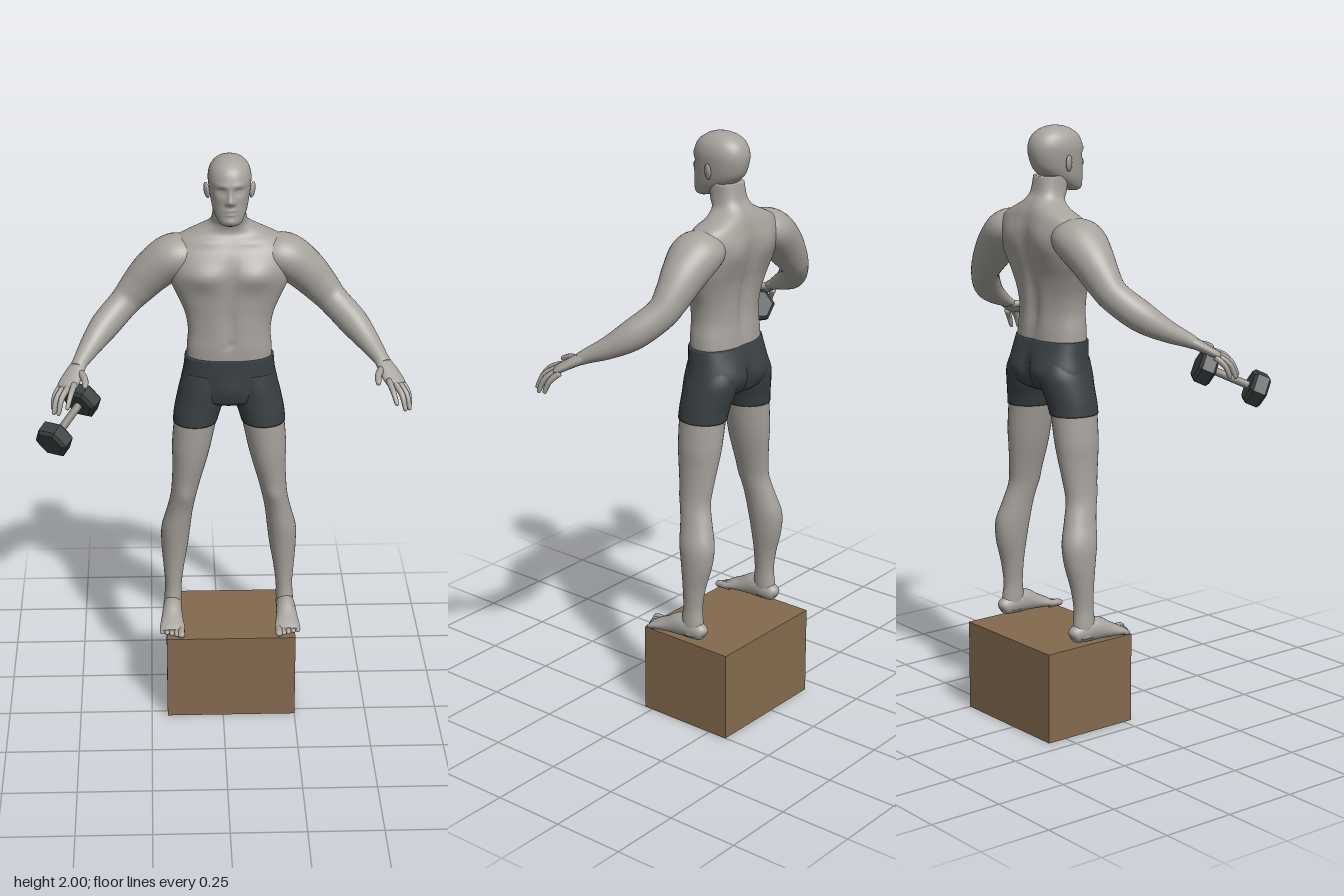
import * as THREE from 'three';

const material = (name, color) => Object.assign(new THREE.MeshStandardMaterial({ color }), { name });
const V = (x, y, z) => new THREE.Vector3(x, y, z);

// Smooth extra rows between the given ones (Catmull-Rom on every column)
function smooth(rows, steps) {
  const out = [], at = i => rows[Math.min(Math.max(i, 0), rows.length - 1)];
  for (let i = 0; i < rows.length - 1; i++) for (let k = 0; k < steps; k++) {
    const t = k / steps;
    out.push(rows[i].map((b, j) => {
      const a = at(i - 1)[j], c = at(i + 1)[j], d = at(i + 2)[j];
      return b + 0.5 * t * (c - a + t * (2 * a - 5 * b + 4 * c - d + t * (3 * (b - c) + d - a)));
    }));
  }
  out.push(rows[rows.length - 1]);
  return out;
}

// Closed skin over elliptical sections {c, u, v}, turned to face outward
function skinOver(name, mat, sections, n = 24, rule = null, power = 1) {
  const pos = [], index = [], p = V();
  const bend = a => Math.sign(a) * Math.abs(a) ** power;
  for (const { c, u, v } of sections) for (let i = 0; i < n; i++) {
    const a = i / n * Math.PI * 2, sin = Math.sin(a);
    p.copy(c).addScaledVector(u, bend(Math.cos(a))).addScaledVector(v, bend(sin));
    if (rule) rule(p, sin);
    pos.push(p.x, p.y, p.z);
  }
  const m = sections.length, ends = [sections[0].c, sections[m - 1].c];
  ends.forEach(c => pos.push(c.x, c.y, c.z));
  for (let i = 0; i < n; i++) {
    const j = (i + 1) % n, top = (m - 1) * n;
    for (let r = 0; r < m - 1; r++) {
      const a = r * n + i, b = r * n + j;
      index.push(a, b, a + n, b, b + n, a + n);
    }
    index.push(m * n, j, i, m * n + 1, top + i, top + j);
  }
  const P = k => V(pos[3 * k], pos[3 * k + 1], pos[3 * k + 2]);
  let volume = 0;
  for (let k = 0; k < index.length; k += 3) volume += P(index[k]).dot(P(index[k + 1]).cross(P(index[k + 2])));
  if (volume < 0) index.reverse();
  const g = new THREE.BufferGeometry();
  g.setAttribute('position', new THREE.Float32BufferAttribute(pos, 3));
  g.setIndex(index);
  g.computeVertexNormals();
  const mesh = new THREE.Mesh(g, mat);
  mesh.name = name;
  return mesh;
}

// Rows [y, centre x, half width, front z, back z]
const layers = (rows, s = 1, steps = 5) => smooth(rows, steps).map(([y, x, w, f, b]) =>
  ({ c: V(s * x, y, (f + b) / 2), u: V(w, 0, 0), v: V(0, 0, (f - b) / 2) }));

// Rows [x, y, z, radius sideways, radius upward] along a path
function limb(rows, s = 1, steps = 5) {
  const fine = smooth(rows, steps), c = fine.map(r => V(s * r[0], r[1], r[2]));
  return fine.map((r, i) => {
    const t = c[Math.min(i + 1, c.length - 1)].clone().sub(c[Math.max(i - 1, 0)]).normalize();
    const u = t.clone().cross(V(0, 1, 0)).normalize(), v = u.clone().cross(t);
    return { c: c[i], u: u.multiplyScalar(r[3]), v: v.multiplyScalar(r[4]) };
  });
}

// Soft bumps [|x|, y, spread x, spread y, dz] on the front (+1) or back (-1)
const bumps = (front, back) => (p, sin) => {
  let dz = 0;
  for (const [x, y, sx, sy, d] of sin > 0 ? front : back)
    dz += d * Math.exp(-(((Math.abs(p.x) - x) / sx) ** 2) - ((p.y - y) / sy) ** 2);
  p.z += dz * Math.min(1, Math.abs(sin) * 1.6);
};

export function createModel() {
  const skin = material('skin', 0xa6a29c), cloth = material('shorts cloth', 0x394042);
  const wood = material('box brown', 0x846a4e), iron = material('dark iron', 0x3b4041), steel = material('bar metal', 0x8d8781);
  const root = new THREE.Group(), body = new THREE.Group();
  root.name = 'weightlifterOnBox';
  body.name = 'body';
  body.position.x = 0.025;
  root.add(body);

  // Torso and neck
  body.add(skinOver('torso', skin, layers([
    [1.27, 0, .142, -.055, -.218], [1.34, 0, .141, -.052, -.212], [1.4, 0, .137, -.055, -.206],
    [1.46, 0, .147, -.056, -.21], [1.52, 0, .172, -.052, -.22], [1.57, 0, .195, -.048, -.233],
    [1.62, 0, .205, -.05, -.243], [1.67, 0, .2, -.065, -.246], [1.71, 0, .17, -.09, -.24],
    [1.737, 0, .115, -.105, -.232], [1.762, 0, .069, -.102, -.218], [1.79, 0, .056, -.088, -.2],
    [1.84, 0, .052, -.08, -.19]]), 72, bumps(
    [[.085, 1.605, .065, .04, .018], [0, 1.6, .014, .06, -.008], [0, 1.44, .011, .09, -.006],
      [.045, 1.42, .03, .09, .004], [0, 1.365, .007, .008, -.008], [.07, 1.71, .06, .012, .006]],
    [[0, 1.52, .02, .17, .014], [.085, 1.64, .05, .055, -.012], [.05, 1.4, .03, .08, -.004]]), .85));

  // Head with modelled face
  body.add(skinOver('head', skin, layers([
    [1.785, 0, .016, -.035, -.06], [1.795, 0, .036, -.022, -.09], [1.825, 0, .053, -.019, -.15],
    [1.86, 0, .062, -.019, -.193], [1.9, 0, .068, -.019, -.21], [1.935, 0, .07, -.022, -.212],
    [1.965, 0, .062, -.035, -.2], [1.985, 0, .045, -.06, -.177], [1.996, 0, .024, -.088, -.148],
    [2, 0, .003, -.115, -.122]], 1, 7), 96, bumps(
    [[.028, 1.902, .015, .011, -.011], [.028, 1.901, .009, .006, .006], [.026, 1.923, .024, .008, .004],
      [0, 1.873, .011, .012, .017], [0, 1.892, .007, .018, .009], [.011, 1.868, .006, .006, .006],
      [0, 1.842, .02, .005, .005], [0, 1.83, .016, .005, .005], [0, 1.836, .02, .003, -.003],
      [0, 1.805, .022, .012, .006]], []), .92));

  // Pelvis part of the shorts
  body.add(skinOver('shortsPelvis', cloth, layers([
    [1.31, 0, .148, -.047, -.218], [1.26, 0, .153, -.047, -.234], [1.21, 0, .163, -.05, -.24],
    [1.175, 0, .165, -.054, -.232], [1.15, 0, .12, -.062, -.215], [1.13, 0, .03, -.1, -.17]]), 64, bumps(
    [[0, 1.2, .04, .04, .008]], [[0, 1.2, .016, .06, .02], [.07, 1.21, .055, .045, -.012]]), .85));

  for (const s of [1, -1]) {
    const side = s > 0 ? 'left' : 'right';
    const add = (name, mat, sections, n, rule, power) => body.add(skinOver(side + name, mat, sections, n, rule, power));

    // Ear
    const ear = new THREE.Mesh(new THREE.SphereGeometry(1, 16, 12), skin);
    ear.name = side + 'Ear';
    ear.scale.set(.008, .027, .016);
    ear.position.set(s * .074, 1.882, -.118);
    ear.rotation.set(-.15, s * -.4, s * -.15);
    body.add(ear);

    // Shorts leg
    add('ShortsLeg', cloth, layers([
      [1.25, .08, .07, -.055, -.225], [1.2, .088, .078, -.05, -.238], [1.15, .096, .082, -.05, -.23],
      [1.11, .107, .079, -.049, -.22], [1.07, .115, .075, -.048, -.215]], s), 32);

    // Leg
    add('Leg', skin, layers([
      [1.12, .106, .076, -.054, -.215], [1.07, .115, .072, -.052, -.211], [.98, .128, .066, -.055, -.208],
      [.92, .135, .058, -.06, -.202], [.85, .146, .049, -.07, -.194], [.785, .157, .044, -.08, -.19],
      [.72, .17, .045, -.092, -.207], [.65, .183, .05, -.1, -.226], [.58, .188, .046, -.11, -.221],
      [.5, .192, .036, -.118, -.2], [.43, .194, .029, -.12, -.19], [.38, .196, .03, -.115, -.194],
      [.33, .198, .03, -.11, -.2]], s), 32, bumps([[.155, .8, .025, .03, .006]], []));

    // Foot
    add('Foot', skin, limb([
      [.196, .338, -.208, .008, .01], [.196, .342, -.198, .024, .026], [.197, .348, -.16, .031, .036],
      [.199, .351, -.11, .033, .04], [.2, .338, -.06, .038, .027], [.2, .327, -.015, .044, .016],
      [.2, .322, .004, .042, .01]], s), 24);

    // Toes
    for (let i = 0; i < 5; i++) {
      const x = .169 + i * .0165, r = i ? .0085 : .012, end = .037 - .006 * i - (i > 2 ? .003 : 0);
      add('Toe' + (i + 1), skin, limb([
        [x, .324, -.02, r, r], [x, .324, end - .022, r, r], [x, .321, end - .007, r, r * .9],
        [x, .319, end, r * .3, r * .3]], s, 3), 10);
    }

    // Arm from shoulder to wrist
    add('Arm', skin, limb([
      [.09, 1.66, -.16, .05, .04], [.14, 1.655, -.16, .08, .062], [.19, 1.64, -.161, .087, .074],
      [.25, 1.592, -.163, .073, .07], [.3, 1.538, -.162, .058, .061], [.345, 1.488, -.15, .048, .052],
      [.41, 1.428, -.096, .047, .05], [.455, 1.384, -.035, .037, .037], [.49, 1.35, .03, .026, .024],
      [.5, 1.338, .05, .026, .02]], s), 32);

    // Palm
    add('Palm', skin, limb([
      [.488, 1.351, .028, .024, .021], [.505, 1.333, .06, .03, .018], [.522, 1.312, .095, .035, .015],
      [.534, 1.299, .117, .033, .012], [.538, 1.295, .124, .02, .006]], s, 4), 20);

    // Fingers and thumb: base, middle joint, tip
    const digits = {
      Thumb: [[.492, 1.33, .065], [.475, 1.324, .112], [.472, 1.31, .153]],
      IndexFinger: [[.508, 1.309, .118], [.519, 1.29, .162], [.531, 1.252, .194]],
      MiddleFinger: [[.524, 1.304, .115], [.548, 1.277, .159], [.56, 1.228, .184]],
      RingFinger: [[.54, 1.3, .106], [.565, 1.27, .142], [.576, 1.222, .163]],
      LittleFinger: [[.551, 1.296, .092], [.572, 1.268, .117], [.58, 1.227, .134]],
    };
    for (const [name, [a, b, c]] of Object.entries(digits)) {
      const r = name === 'Thumb' ? .0115 : .0095;
      const near = c.map((q, i) => q + (b[i] - q) * .15);
      add(name, skin, limb([[...a, r * 1.1, r * 1.1], [...b, r, r], [...near, r * .75, r * .75], [...c, r * .25, r * .25]], s, 4), 10);
    }
  }

  // Dumbbell: bar with two bevelled hexagonal heads
  const dumbbell = new THREE.Group(), ends = [V(-.458, 1.252, .112), V(-.547, 1.178, .252)];
  dumbbell.name = 'dumbbell';
  const axis = ends[1].clone().sub(ends[0]), length = axis.length();
  dumbbell.position.copy(ends[0]).add(ends[1]).multiplyScalar(.5);
  dumbbell.quaternion.setFromUnitVectors(V(0, 1, 0), axis.normalize());
  const bar = new THREE.Mesh(new THREE.CylinderGeometry(.013, .013, length, 16), steel);
  bar.name = 'dumbbellBar';
  dumbbell.add(bar);
  const profile = [[0, -.029], [.048, -.029], [.06, -.02], [.06, .02], [.048, .029], [0, .029]];
  const headShape = new THREE.LatheGeometry(profile.map(q => new THREE.Vector2(...q)), 6).toNonIndexed();
  headShape.computeVertexNormals();
  for (const s of [-1, 1]) {
    const weight = new THREE.Mesh(headShape, iron);
    weight.name = s < 0 ? 'innerWeight' : 'outerWeight';
    weight.position.y = s * length / 2;
    dumbbell.add(weight);
  }
  root.add(dumbbell);

  // Box to stand on
  const box = new THREE.Mesh(new THREE.BoxGeometry(.446, .306, .35), wood);
  box.name = 'standingBox';
  box.position.set(.028, .153, -.145);
  root.add(box);
  return root;
}
